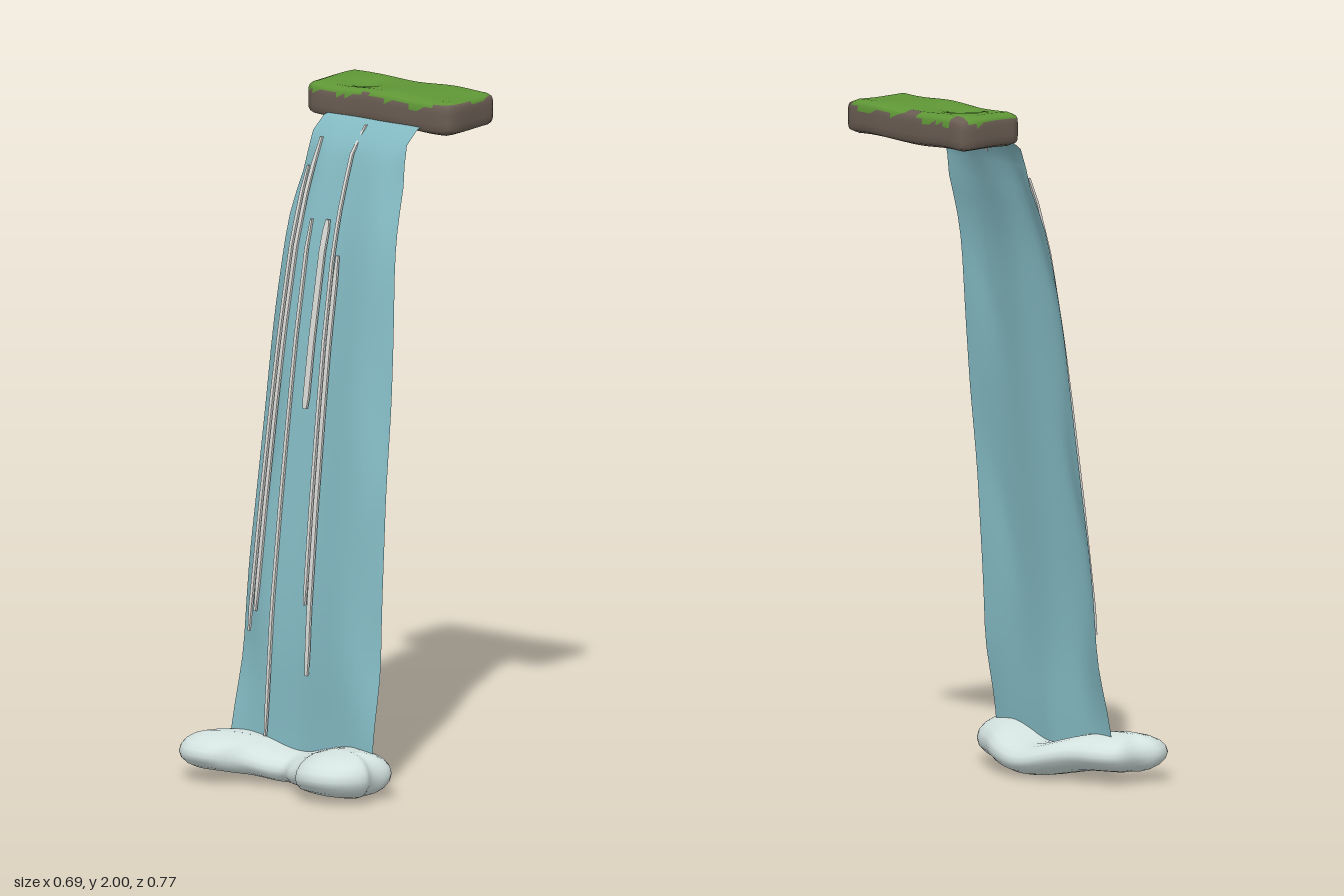
import * as THREE from 'three';
import { mergeVertices } from 'three/addons/utils/BufferGeometryUtils.js';

const mat = (name, color, side = THREE.FrontSide) => {
  const m = new THREE.MeshStandardMaterial({ color, side });
  m.name = name;
  return m;
};
const smooth = THREE.MathUtils.smoothstep;

// Fall line of the water, as (z, y) from lip to pool
const fall = [[-0.2, 1.922], [-0.13, 1.908], [-0.07, 1.85], [-0.015, 1.7], [0.025, 1.55],
  [0.066, 1.3], [0.092, 1.1], [0.127, 0.8], [0.157, 0.5], [0.18, 0.08]];

function fallZ(y) {
  for (let i = 1; i < fall.length; i++) {
    const [z0, y0] = fall[i - 1], [z1, y1] = fall[i];
    if (y >= y1) return z0 + (z1 - z0) * Math.min(1, (y0 - y) / (y0 - y1));
  }
  return fall.at(-1)[0];
}

// Every vertex of a geometry goes through a rule
function reshape(geo, rule) {
  const p = geo.attributes.position, v = new THREE.Vector3();
  for (let i = 0; i < p.count; i++) {
    rule(v.fromBufferAttribute(p, i));
    p.setXYZ(i, v.x, v.y, v.z);
  }
  geo.computeVertexNormals();
  return geo;
}

// Widening sheet: hollow middle, edges curling back unevenly, a V at the pool
function waterSheet(material) {
  const curve = new THREE.SplineCurve(fall.map(([z, y]) => new THREE.Vector2(z, y)));
  const geo = reshape(new THREE.PlaneGeometry(2, 1, 16, 30), (v) => {
    const u = v.x, p = curve.getPointAt(0.5 - v.y);
    const d = Math.max(0, 1.9 - p.y), a = Math.abs(u);
    const left = 0.156 + 0.03 * smooth(d, 0, 0.3) + 0.034 * d;
    const right = 0.19 + 0.035 * smooth(d, 0, 0.8) + 0.031 * d;
    const start = 0.62 + 0.14 * Math.sin(p.y * 9 + (u > 0 ? 0 : 2));
    const hollow = -0.012 * (1 - smooth(a, 0, 0.6));
    const curl = -0.034 * smooth(a, start, 1.08);
    const vee = 0.028 * a - 0.024;
    const pool = 1 - smooth(p.y, 0.1, 0.4);
    v.set(u * (u < 0 ? left : right), p.y,
      p.x + smooth(d, 0, 0.15) * THREE.MathUtils.lerp(hollow + curl, vee, pool));
  });
  return new THREE.Mesh(geo, material);
}

// Thin blade that follows the water, narrowing at both ends
function streak(material, [x0, y0, x1, y1, w]) {
  const geo = reshape(new THREE.BoxGeometry(1, 1, 0.008, 1, 18, 1), (v) => {
    const t = 0.5 - v.y;
    const taper = Math.min(1, 0.6 + 8 * Math.min(t, 1 - t));
    const y = y0 + (y1 - y0) * t;
    v.set(x0 + (x1 - x0) * t + v.x * w * taper, y, fallZ(y) + 0.006 + v.z);
  });
  return new THREE.Mesh(geo, material);
}

// Rounded, uneven slab whose upper faces are grass
function ledge(rock, grass) {
  const half = new THREE.Vector3(0.267, 0.05, 0.115), r = 0.026;
  const core = half.clone().subScalar(r);
  let geo = new THREE.BoxGeometry(half.x * 2, half.y * 2, half.z * 2, 18, 6, 8);
  geo.deleteAttribute('uv');
  geo.deleteAttribute('normal');
  geo = mergeVertices(geo);
  reshape(geo, (v) => {
    const c = v.clone().clamp(core.clone().negate(), core);
    v.sub(c).setLength(r).add(c);
    const { x, z } = v;
    v.z += 0.002 * Math.sin(x * 31 + 1);
    v.x += 0.005 * Math.sin(z * 25);
    v.y += 0.003 * Math.sin(x * 19 + z * 14);
    // small hollow in the turf
    if (v.y > 0.03) v.y -= 0.013 * Math.exp(-((x + 0.12) ** 2 + (z - 0.02) ** 2) / 0.0015);
  });
  const p = geo.attributes.position, idx = geo.index.array, top = [], rest = [];
  for (let i = 0; i < idx.length; i += 3) {
    const f = [idx[i], idx[i + 1], idx[i + 2]];
    const mean = (get) => f.reduce((s, k) => s + get(k), 0) / 3;
    const x = mean((k) => p.getX(k)), y = mean((k) => p.getY(k)), z = mean((k) => p.getZ(k));
    const edge = 0.03 + 0.008 * Math.sin(x * 21 + 2) + 0.006 * Math.sin(x * 47 + z * 30);
    const inner = Math.abs(x) < 0.24 && Math.abs(z) < 0.095;
    // bare rock at the back corner and mid back edge
    const bare = z < -0.085 && (x < -0.215 || Math.abs(x + 0.025) < 0.03);
    (!bare && (y > edge || (inner && y > 0.02)) ? top : rest).push(...f);
  }
  geo.setIndex([...top, ...rest]);
  geo.clearGroups();
  geo.addGroup(0, top.length, 0);
  geo.addGroup(top.length, rest.length, 1);
  const mesh = new THREE.Mesh(geo, [grass, rock]);
  mesh.position.set(0.022, 1.947, -0.268);
  return mesh;
}

// Kidney-shaped cushion: rounded rings closing in on a curved spine
function foamPool(material) {
  const n = 96, rings = 10, pos = [], idx = [];
  const outline = new THREE.CatmullRomCurve3([
    [-0.32, 0.14], [-0.27, 0.1], [-0.2, 0.075], [-0.1, 0.025], [0, 0.006], [0.12, 0.03],
    [0.2, 0.07], [0.29, 0.117], [0.34, 0.175], [0.328, 0.24], [0.344, 0.29], [0.3, 0.36],
    [0.225, 0.386], [0.145, 0.367], [0.1, 0.31], [0.05, 0.285], [0, 0.25], [-0.05, 0.272],
    [-0.12, 0.3], [-0.19, 0.36], [-0.295, 0.35], [-0.344, 0.285], [-0.325, 0.22],
  ].map(([x, z]) => new THREE.Vector3(x, 0, z)), true).getPoints(n).slice(0, n);
  for (let k = 0; k <= rings; k++) {
    const a = (k / rings - 0.5) * Math.PI;
    const s = Math.max(0, Math.cos(a)) ** 0.85;
    for (const o of outline) {
      const sx = o.x * 0.72, sz = 0.13 + 0.11 * smooth(Math.abs(sx), 0, 0.24);
      const x = sx + (o.x - sx) * s, z = sz + (o.z - sz) * s;
      const lobe = smooth(Math.abs(x), 0, 0.2);
      const mid = 0.05 + lobe * (x < 0 ? 0.034 : 0.024);
      const h = 0.048 + lobe * (x < 0 ? 0.008 : 0.018);
      pos.push(x, mid + h * Math.sin(a), z);
    }
  }
  for (let k = 0; k < rings; k++) for (let j = 0; j < n; j++) {
    const a = k * n + j, b = k * n + (j + 1) % n;
    idx.push(a, a + n, b, b, a + n, b + n);
  }
  const geo = new THREE.BufferGeometry();
  geo.setAttribute('position', new THREE.Float32BufferAttribute(pos, 3));
  geo.setIndex(idx);
  geo.computeVertexNormals();
  return new THREE.Mesh(geo, material);
}

export function createModel() {
  const water = mat('water blue', 0x83b9c2, THREE.DoubleSide);
  const foam = mat('foam white', 0xd3e2df);
  const spray = mat('streak white', 0xd8d8d5);
  const grass = mat('grass green', 0x5f9636);
  const rock = mat('rock brown', 0x6a5d53);

  const model = new THREE.Group();
  model.name = 'waterfall';
  const add = (name, mesh) => { mesh.name = name; model.add(mesh); };

  add('waterSheet', waterSheet(water));
  add('grassyLedge', ledge(rock, grass));
  add('foamPool', foamPool(foam));

  // Streaks as top x, top y, bottom x, bottom y, width
  [[-0.115, 1.86, -0.17, 0.49, 0.012],
    [-0.135, 1.78, -0.19, 0.43, 0.01],
    [-0.085, 1.635, -0.117, 0.13, 0.01],
    [-0.026, 1.64, -0.037, 1.095, 0.02],
    [0.012, 1.905, 0.01, 0.53, 0.01],
    [0.03, 1.545, 0.028, 0.325, 0.014],
  ].forEach((s, i) => add(`waterStreak${i + 1}`, streak(spray, s)));
  return model;
}
